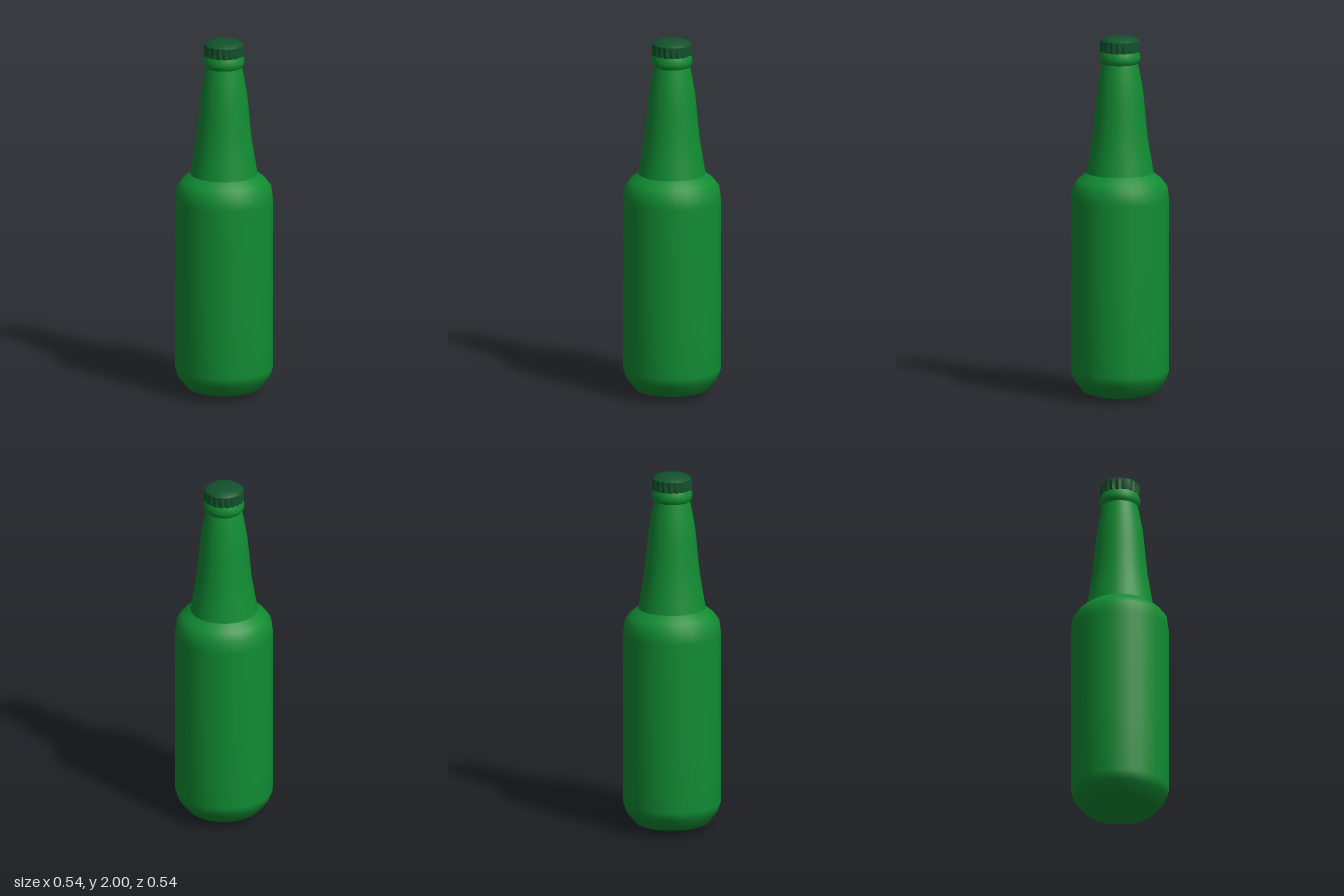
import * as THREE from 'three';
import { toCreasedNormals } from 'three/addons/utils/BufferGeometryUtils.js';

const glass = new THREE.MeshStandardMaterial({ name: 'green glass', color: 0x118c33 });
const metal = new THREE.MeshStandardMaterial({ name: 'dark green cap', color: 0x11522b });

function lathe(name, points, segments, material) {
  const geometry = new THREE.LatheGeometry(points.map(([r, y]) => new THREE.Vector2(r, y)), segments);
  const mesh = new THREE.Mesh(geometry, material);
  mesh.name = name;
  return mesh;
}

export function createModel() {
  const group = new THREE.Group();
  group.name = 'bottle';

  // Body with rounded base and shoulder
  group.add(lathe('body', [
    [0, 0], [0.1, 0.008], [0.2, 0.035], [0.252, 0.1], [0.268, 0.15],
    [0.268, 0.5], [0.268, 1.1], [0.259, 1.17], [0.23, 1.208], [0.184, 1.245],
  ], 32, glass));

  // Tapering neck
  group.add(lathe('neck', [
    [0.184, 1.245], [0.168, 1.34], [0.15, 1.45], [0.138, 1.58], [0.126, 1.7], [0.11, 1.79], [0.098, 1.85],
  ], 32, glass));

  // Rounded lip below the cap
  group.add(lathe('lip', [
    [0.096, 1.845], [0.107, 1.86], [0.112, 1.88], [0.107, 1.905], [0.098, 1.925],
  ], 32, glass));

  // Crown cap, its skirt pinched into flutes
  const teeth = 20;
  const cap = lathe('cap', [
    [0, 1.915], [0.106, 1.915], [0.106, 1.975], [0.09, 1.988], [0.06, 1.997], [0, 2],
  ], teeth * 2, metal);
  const p = cap.geometry.attributes.position;
  for (let i = 0; i < p.count; i++) {
    const r = Math.hypot(p.getX(i), p.getZ(i));
    if (r < 0.1) continue;
    const tooth = Math.round(Math.atan2(p.getX(i), p.getZ(i)) / Math.PI * teeth);
    const depth = p.getY(i) < 1.95 ? 0.005 : 0.002;
    const k = (r + (tooth % 2 === 0 ? depth : -depth)) / r;
    p.setX(i, p.getX(i) * k);
    p.setZ(i, p.getZ(i) * k);
  }
  cap.geometry = toCreasedNormals(cap.geometry, 0.5);
  group.add(cap);

  return group;
}
